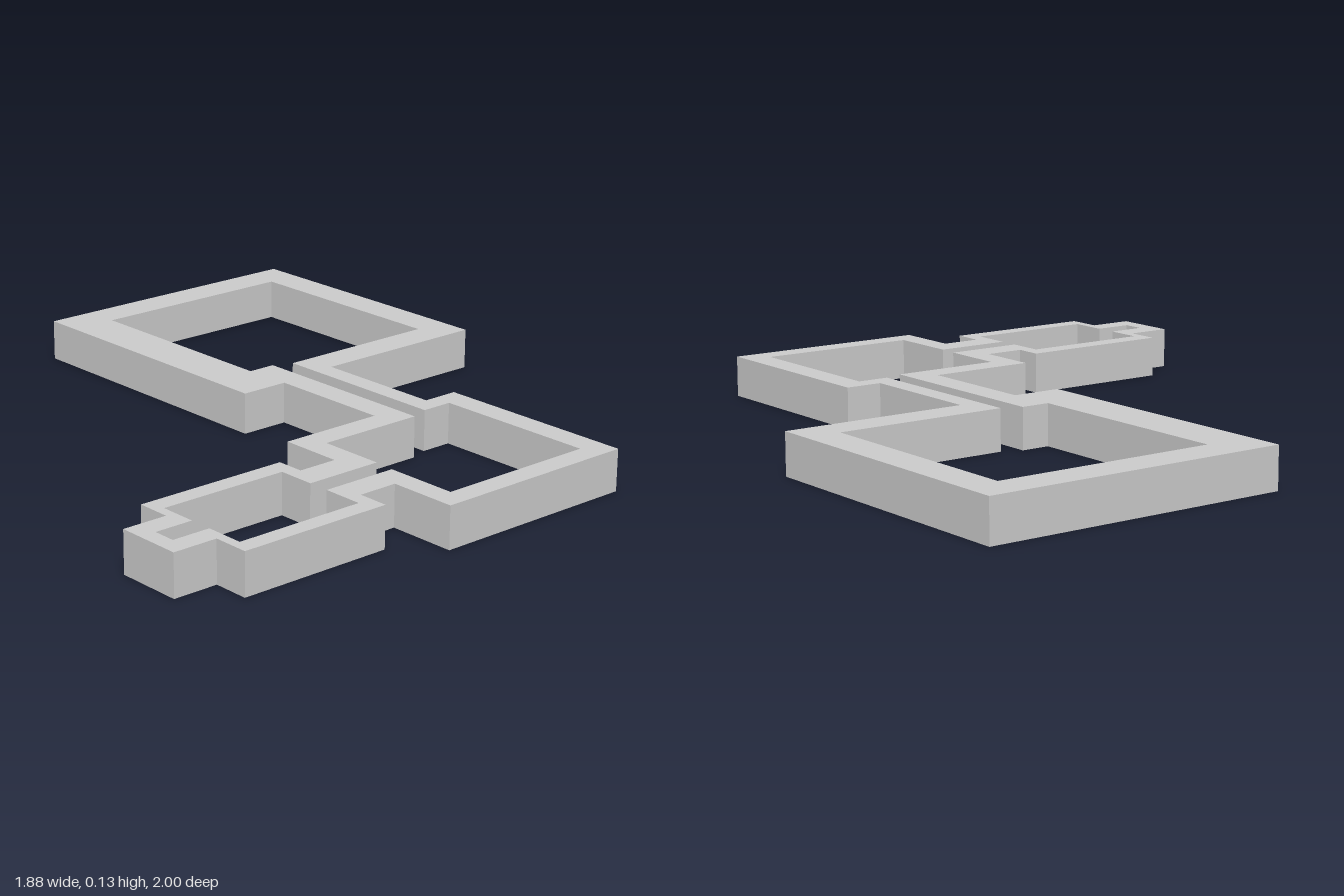
import * as THREE from 'three';

const HEIGHT = 0.127;

// Outer face of the wall, as [x, z] corners
const outer = [
  // large room, then the east side of the corridor
  [-0.01, -1], [0.94, -1], [0.94, -0.06], [0.355, -0.06],
  // middle room
  [0.355, 0.355], [0.47, 0.355], [0.47, 1], [-0.19, 1], [-0.19, 0.79],
  // small room and its end alcove
  [-0.315, 0.79], [-0.315, 0.885], [-0.8, 0.885], [-0.8, 0.775], [-0.94, 0.775],
  [-0.94, 0.57], [-0.8, 0.57], [-0.8, 0.465], [-0.315, 0.465], [-0.315, 0.55],
  // back past the middle room and up the corridor
  [-0.19, 0.55], [-0.19, 0.355], [0.145, 0.355], [0.145, -0.04], [-0.01, -0.04],
];

// Inner face of the wall, in the same order
const inner = [
  [0.14, -0.885], [0.83, -0.885], [0.83, -0.165], [0.29, -0.165],
  [0.29, 0.415], [0.39, 0.415], [0.39, 0.93], [-0.12, 0.93], [-0.12, 0.705],
  [-0.36, 0.705], [-0.36, 0.83], [-0.77, 0.83], [-0.77, 0.71], [-0.89, 0.71],
  [-0.89, 0.64], [-0.77, 0.64], [-0.77, 0.525], [-0.36, 0.525], [-0.36, 0.64],
  [-0.115, 0.64], [-0.115, 0.435], [0.23, 0.435], [0.23, -0.19], [0.14, -0.19],
];

const toPoints = (corners) => corners.map(([x, z]) => new THREE.Vector2(x, z));

export function createModel() {
  const group = new THREE.Group();
  group.name = 'floorPlanWalls';

  // One continuous wall around three linked rooms, open above and below
  const plan = new THREE.Shape(toPoints(outer));
  plan.holes.push(new THREE.Path(toPoints(inner)));
  const geometry = new THREE.ExtrudeGeometry(plan, { depth: HEIGHT, bevelEnabled: false });
  geometry.rotateX(Math.PI / 2); // lay the plan flat: shape y becomes z
  geometry.translate(0, HEIGHT, 0);

  const wall = new THREE.Mesh(
    geometry,
    new THREE.MeshStandardMaterial({ color: 0xcccccc, flatShading: true }),
  );
  wall.name = 'perimeterWall';
  group.add(wall);
  return group;
}
